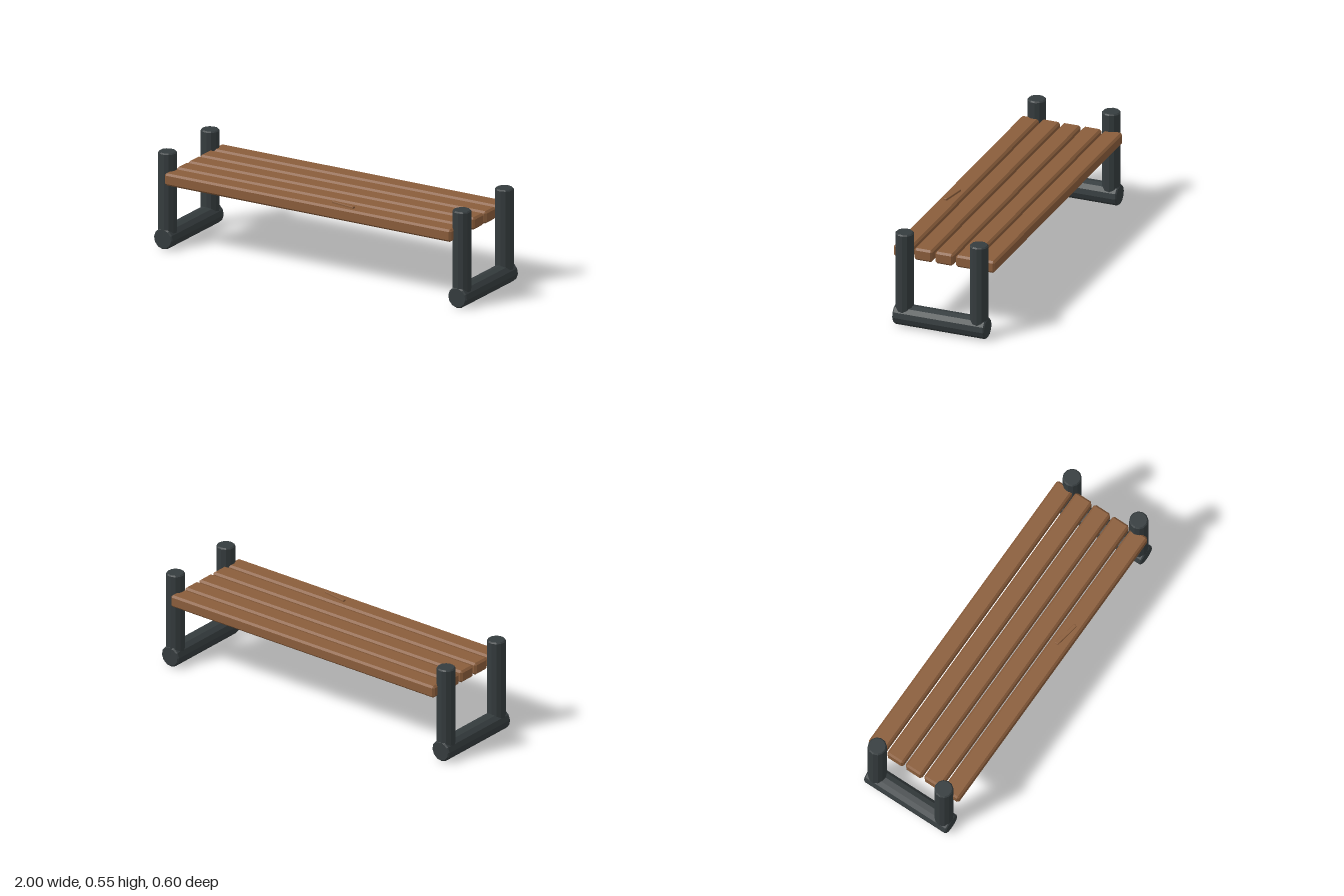
import * as THREE from 'three';
import { ConvexGeometry } from 'three/addons/geometries/ConvexGeometry.js';

const metal = new THREE.MeshStandardMaterial({ color: 0x353c3e, flatShading: true });
const wood = new THREE.MeshStandardMaterial({ color: 0x8a5d3b, flatShading: true });

// Box with every edge cut by a single chamfer
function chamferBox(w, h, d, c) {
  const points = [];
  for (const sx of [-1, 1]) for (const sy of [-1, 1]) for (const sz of [-1, 1]) {
    for (let axis = 0; axis < 3; axis++) {
      // each corner gives three points, one on each face it touches
      const inset = [c, c, c];
      inset[axis] = 0;
      points.push(new THREE.Vector3(
        sx * (w / 2 - inset[0]), sy * (h / 2 - inset[1]), sz * (d / 2 - inset[2])));
    }
  }
  return new ConvexGeometry(points);
}

// Twelve-sided bar along y, centred, with chamfered ends
function chamferBar(r, length, c) {
  const h = length / 2;
  const profile = [[0, -h], [r - c, -h], [r, -h + c], [r, h - c], [r - c, h], [0, h]];
  return new THREE.LatheGeometry(profile.map(([x, y]) => new THREE.Vector2(x, y)), 12);
}

export function createModel() {
  const bench = new THREE.Group();
  bench.name = 'bench';

  const add = (name, geometry, material, x, y, z) => {
    const mesh = new THREE.Mesh(geometry, material);
    mesh.name = name;
    mesh.position.set(x, y, z);
    bench.add(mesh);
    return mesh;
  };

  // End frames: a floor bar carrying two posts
  const barGeometry = chamferBar(0.06, 0.54, 0.007).rotateX(Math.PI / 2).rotateZ(-0.087);
  const postGeometry = chamferBar(0.052, 0.49, 0.007).rotateY(0.14);
  for (const [side, x] of [['left', 0.94], ['right', -0.94]]) {
    add(`${side}FloorBar`, barGeometry, metal, x, 0.06, 0);
    add(`${side}FrontPost`, postGeometry, metal, x, 0.307, 0.219);
    add(`${side}BackPost`, postGeometry, metal, x, 0.307, -0.219);
  }

  // Seat slats
  const slatGeometry = chamferBox(1.83, 0.07, 0.107, 0.011);
  for (let i = -2; i <= 2; i++) {
    add(`seatSlat${i + 3}`, slatGeometry, wood, 0, 0.415, i * 0.122);
  }

  // Loose splinter lying on the front slat
  const splinter = add('splinter', chamferBox(0.15, 0.016, 0.02, 0.002), wood, 0.2, 0.453, 0.245);
  splinter.rotation.y = -0.17;

  return bench;
}
